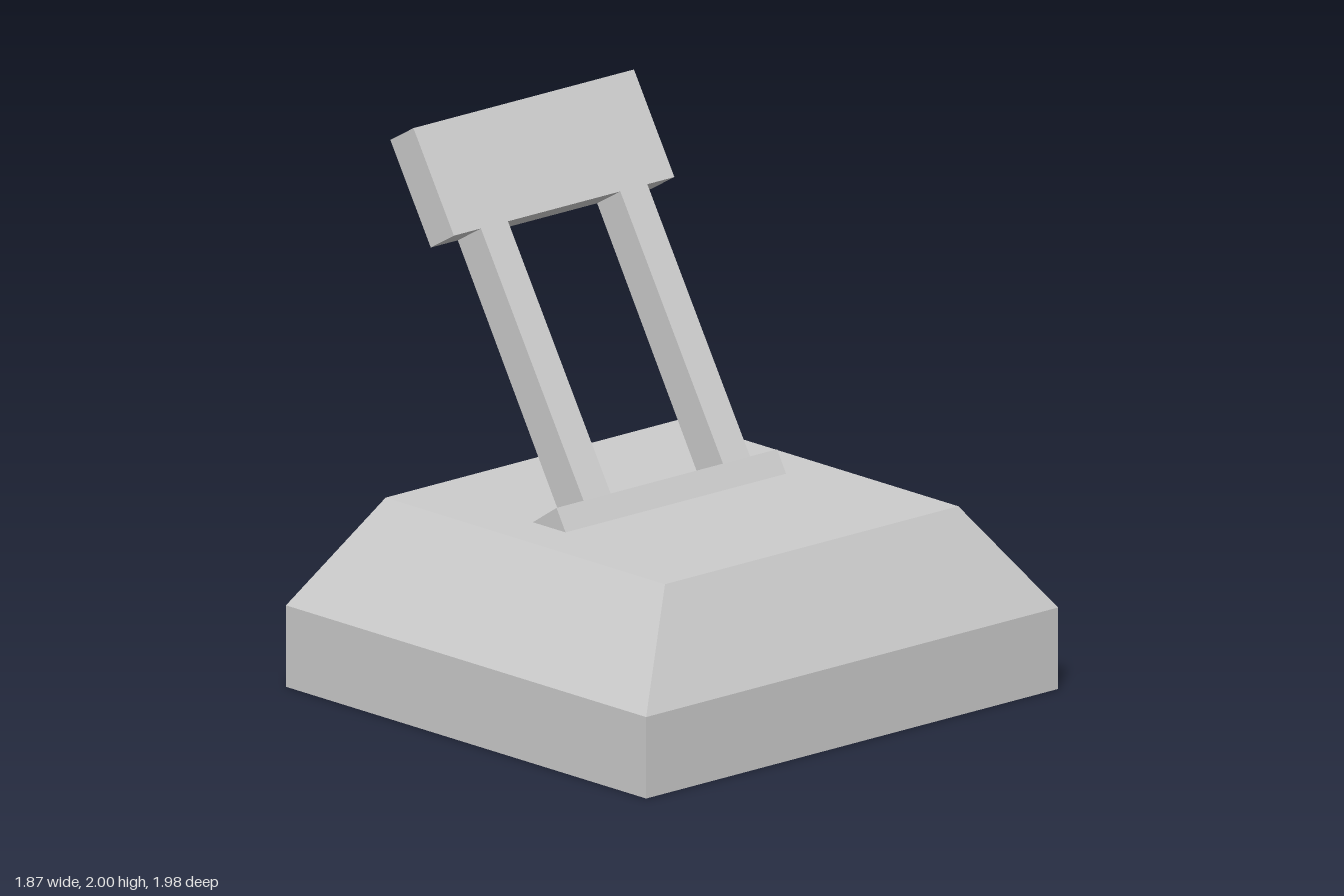
import * as THREE from 'three';

const material = new THREE.MeshStandardMaterial({ color: 0xcccccc, flatShading: true });

// Solid with an x-y side profile, spanning z0 to z1
function prism(name, profile, z0, z1) {
  const shape = new THREE.Shape(profile.map(([x, y]) => new THREE.Vector2(x, y)));
  const geometry = new THREE.ExtrudeGeometry(shape, { depth: z1 - z0, bevelEnabled: false });
  geometry.translate(0, 0, z0);
  const mesh = new THREE.Mesh(geometry, material);
  mesh.name = name;
  return mesh;
}

// Box with straight lower walls and a tapered upper half
function createBase() {
  const box = new THREE.BoxGeometry(2, 2, 2, 1, 2, 1);
  const rows = { '-1': [0.935, 0, 0.99], '0': [0.935, 0.3, 0.99], '1': [0.725, 0.685, 0.705] };
  const p = box.attributes.position;
  for (let i = 0; i < p.count; i++) {
    const [halfX, y, halfZ] = rows[Math.round(p.getY(i))];
    p.setXYZ(i, p.getX(i) * halfX, y, p.getZ(i) * halfZ);
  }
  const geometry = box.toNonIndexed();
  geometry.computeVertexNormals();
  const mesh = new THREE.Mesh(geometry, material);
  mesh.name = 'base';
  return mesh;
}

// Leaning lever: grip and foot joined by two arms
function createLever() {
  const lever = new THREE.Group();
  lever.name = 'lever';
  const gripTop = [[-0.89, 1.93], [-0.77, 2]];
  const gripBottom = [[-0.56, 1.65], [-0.68, 1.58]];
  const footLeft = [-0.15, 0.685], footTop = [-0.027, 0.765], footRight = [0.02, 0.685];

  lever.add(prism('grip', [...gripTop, ...gripBottom], -0.53, 0.53));
  lever.add(prism('foot', [footLeft, footRight, footTop], -0.53, 0.53));
  const arm = [gripBottom[1], gripBottom[0], footTop, footLeft];
  lever.add(prism('leftArm', arm, 0.27, 0.4));
  lever.add(prism('rightArm', arm, -0.4, -0.27));
  // The front faces +z, so name the arms by their place along z
  lever.children[2].name = 'frontArm';
  lever.children[3].name = 'backArm';
  return lever;
}

export function createModel() {
  const model = new THREE.Group();
  model.name = 'leverSwitch';
  model.add(createBase(), createLever());
  return model;
}
